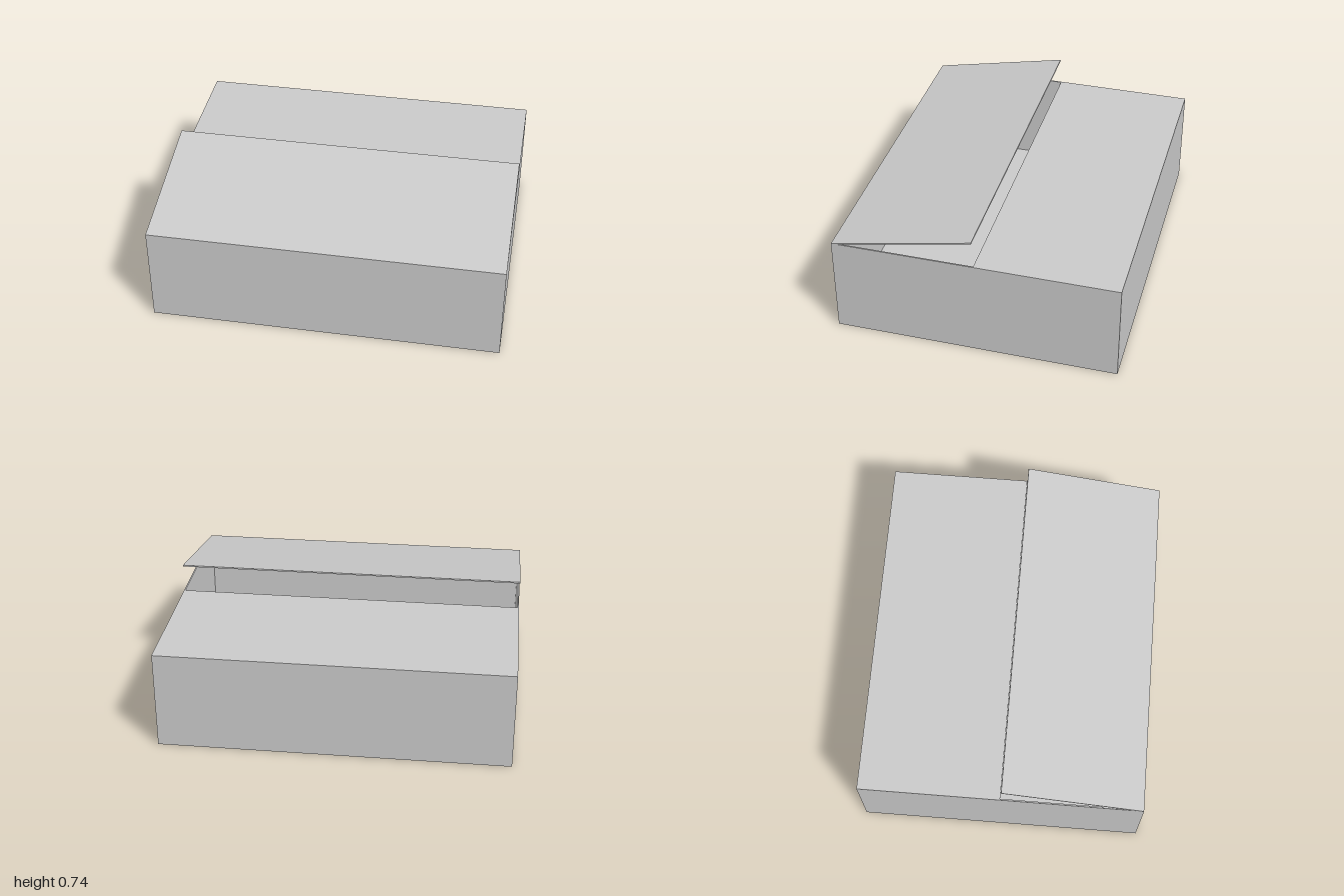
import * as THREE from 'three';

const W = 2, D = 1.62, H = 0.575, T = 0.008; // outer size and board thickness
const FLAP = 0.815;                          // flap length, hinge to free edge

export function createModel() {
  const model = new THREE.Group();
  model.name = 'cardboardBox';
  const material = new THREE.MeshStandardMaterial({ color: 0xcccccc, flatShading: true });

  function board(name, w, h, d, x, y, z, parent = model) {
    const mesh = new THREE.Mesh(new THREE.BoxGeometry(w, h, d), material);
    mesh.name = name;
    mesh.position.set(x, y, z);
    parent.add(mesh);
    return mesh;
  }

  // Floor and four thin walls around an empty inside
  board('floor', W, T, D, 0, T / 2, 0);
  for (const [side, s] of [['left', 1], ['right', -1]]) {
    board(side + 'Wall', T, H - T, D, s * (W - T) / 2, (H + T) / 2, 0);
  }
  for (const [side, s] of [['front', 1], ['back', -1]]) {
    board(side + 'Wall', W - 2 * T, H - T, T, 0, (H + T) / 2, s * (D - T) / 2);
  }

  // Closed back flap, flush with the wall tops, reaching the middle
  board('backFlap', W - 2 * T, T, D / 2 - T + 0.005, 0, H - T / 2, -(D / 2 - T - 0.005) / 2 - T / 2);

  // Front flap, hinged on the front wall and lifted a little
  const hinge = new THREE.Group();
  hinge.name = 'frontFlapHinge';
  hinge.position.set(0, H, D / 2 - 0.002);
  hinge.rotation.x = Math.asin(0.162 / FLAP);
  board('frontFlap', W, T, FLAP, 0, -T / 2, -FLAP / 2, hinge);
  model.add(hinge);

  return model;
}
